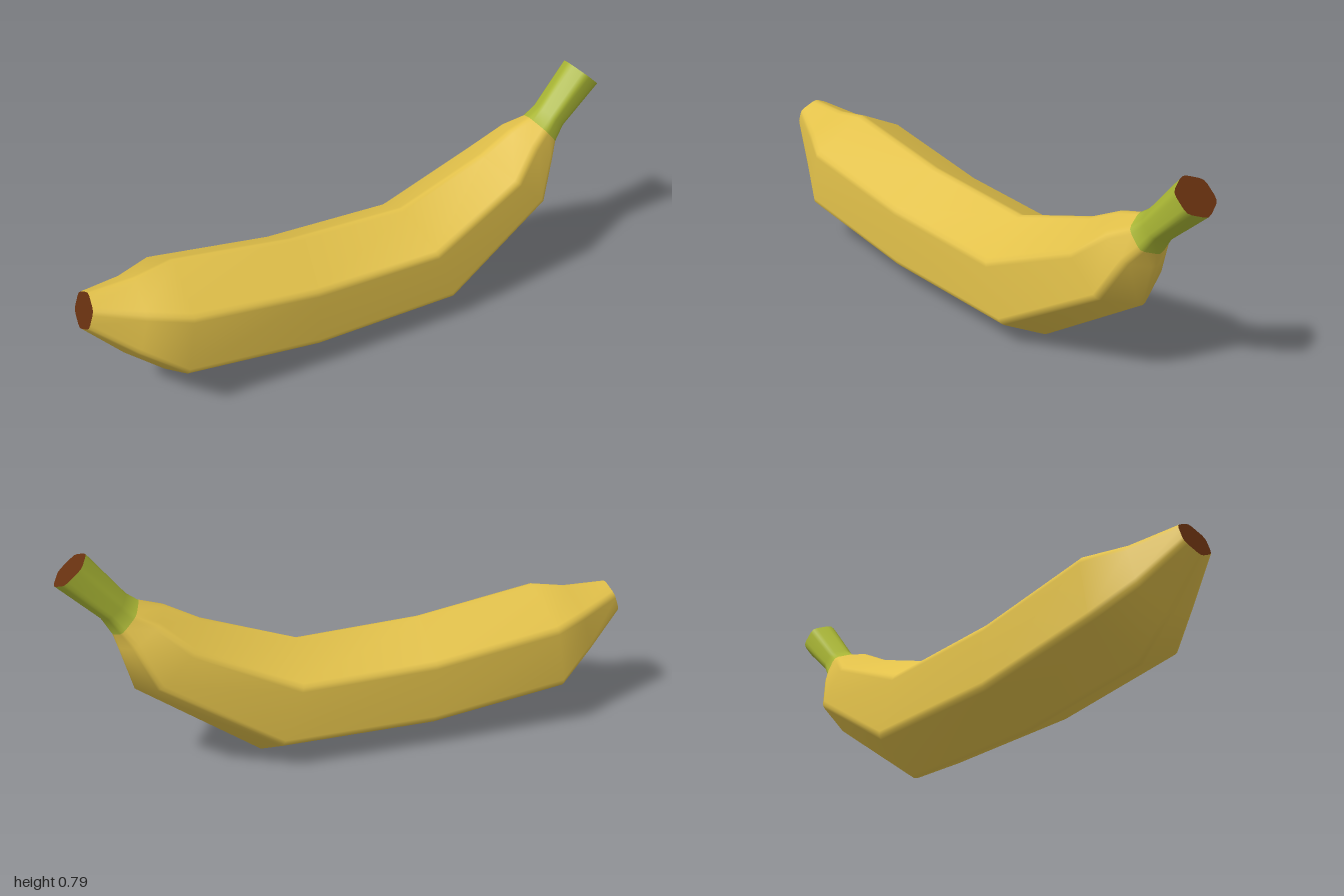
import * as THREE from 'three';

// Stations from tip to stem: top x, top y, bottom x, bottom y, half width
const STATIONS = [
  [-0.96, 0.46, -1.0, 0.34, 0.06],
  [-0.80, 0.463, -0.87, 0.195, 0.125],
  [-0.67, 0.487, -0.735, 0.073, 0.194],
  [-0.24, 0.421, -0.23, 0.005, 0.19],
  [0.20, 0.402, 0.345, 0.005, 0.186],
  [0.53, 0.52, 0.765, 0.30, 0.15],
  [0.65, 0.585, 0.81, 0.455, 0.10],
  [0.735, 0.612, 0.826, 0.506, 0.068],
  [0.775, 0.642, 0.860, 0.565, 0.059],
  [0.893, 0.79, 1.0, 0.695, 0.065],
];
const STEM_START = 7;

// Six-sided cross-section with small rounded corners
function ring([tx, ty, bx, by, width]) {
  const centre = new THREE.Vector3((tx + bx) / 2, (ty + by) / 2, 0);
  const up = new THREE.Vector3((tx - bx) / 2, (ty - by) / 2, 0);
  const round = Math.min(0.018, up.length() * 0.25);
  up.setLength(up.length() + round * 0.25);
  const depth = (width + round * 0.2) / Math.sin(Math.PI / 3);
  const corners = [];
  for (let i = 0; i < 6; i++) {
    const a = (i * Math.PI) / 3;
    corners.push(centre.clone().addScaledVector(up, Math.cos(a)).setZ(Math.sin(a) * depth));
  }
  const points = [];
  corners.forEach((corner, i) => {
    const towards = (other) =>
      other.clone().sub(corner).setLength(round).add(corner);
    const before = towards(corners[(i + 5) % 6]);
    const after = towards(corners[(i + 1) % 6]);
    const middle = before.clone().add(after).multiplyScalar(0.25).addScaledVector(corner, 0.5);
    points.push(before, middle, after);
  });
  return points;
}

// Skin lofted through the rings; the stem is a second material group
function loft(rings) {
  const n = rings[0].length;
  const index = [];
  for (let i = 0; i < rings.length - 1; i++) {
    for (let j = 0; j < n; j++) {
      const a = i * n + j;
      const b = i * n + ((j + 1) % n);
      index.push(a, b, a + n, b, b + n, a + n);
    }
  }
  const geometry = new THREE.BufferGeometry().setFromPoints(rings.flat());
  geometry.setIndex(index);
  geometry.computeVertexNormals();
  const split = STEM_START * n * 6;
  geometry.addGroup(0, split, 0);
  geometry.addGroup(split, index.length - split, 1);
  return geometry;
}

// Flat end face
function cap(points, flip) {
  const centre = new THREE.Vector3();
  points.forEach((p) => centre.addScaledVector(p, 1 / points.length));
  const triangles = [];
  points.forEach((p, j) => {
    const next = points[(j + 1) % points.length];
    triangles.push(centre, ...(flip ? [next, p] : [p, next]));
  });
  const geometry = new THREE.BufferGeometry().setFromPoints(triangles);
  geometry.computeVertexNormals();
  return geometry;
}

export function createModel() {
  const material = (name, color) => {
    const m = new THREE.MeshStandardMaterial({ color });
    m.name = name;
    return m;
  };
  const yellow = material('peelYellow', 0xe2c14a);
  const green = material('stemGreen', 0xaab735);
  const brown = material('endBrown', 0x66300f);

  const group = new THREE.Group();
  group.name = 'banana';
  const add = (name, geometry, mat) => {
    const mesh = new THREE.Mesh(geometry, mat);
    mesh.name = name;
    group.add(mesh);
  };

  const rings = STATIONS.map(ring);
  add('peelAndStem', loft(rings), [yellow, green]);
  add('tipEnd', cap(rings[0], true), brown);
  add('stemEnd', cap(rings[rings.length - 1], false), brown);
  return group;
}
